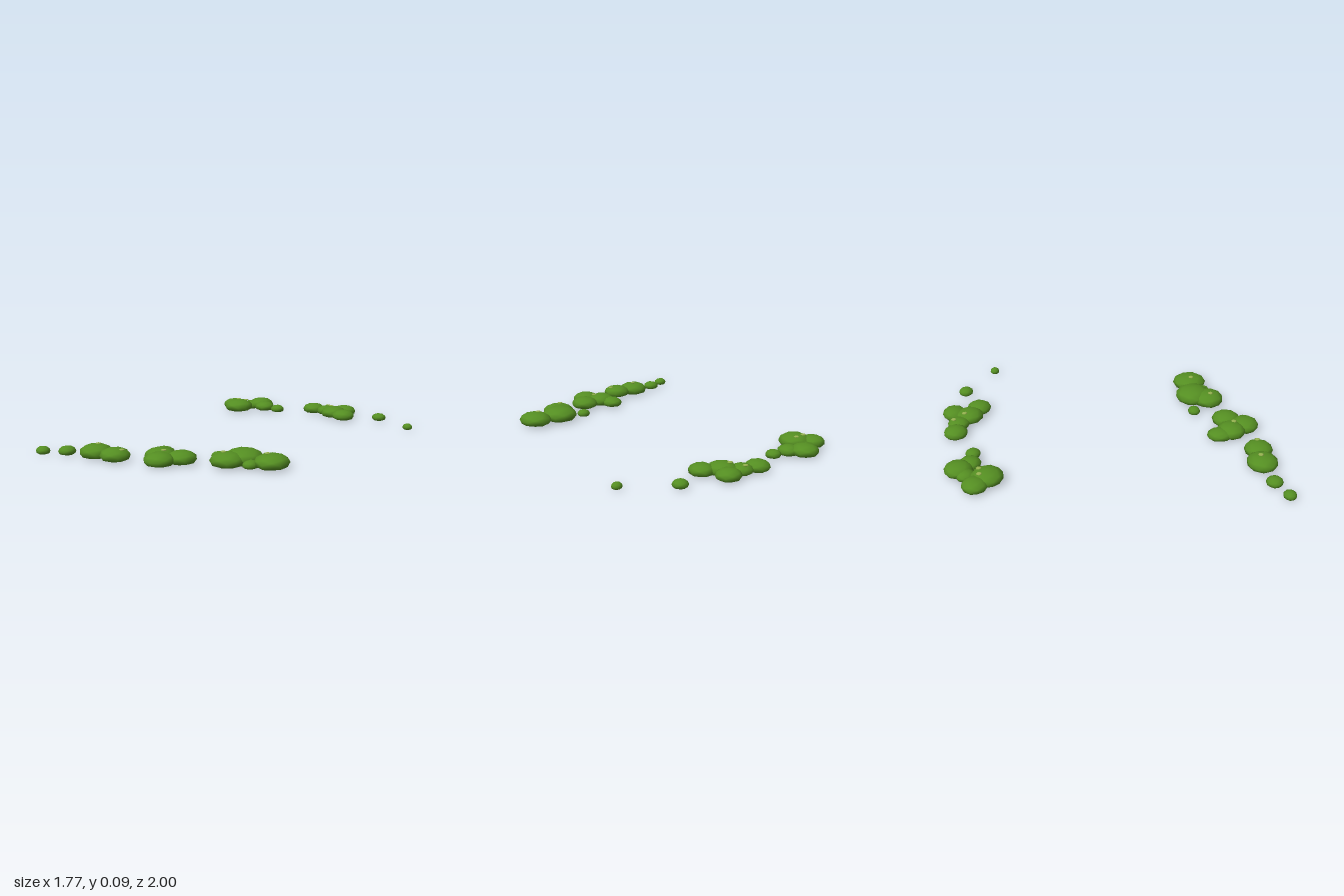
import * as THREE from 'three';
import { mergeVertices } from 'three/addons/utils/BufferGeometryUtils.js';

// Each shrub: x, z, radius along x, radius along z
const clumps = {
  frontRightShrubs: [[-0.845, 0.96, 0.043, 0.04], [-0.71, 0.91, 0.052, 0.052],
    [-0.52, 0.89, 0.098, 0.096], [-0.38, 0.905, 0.09, 0.088]],
  frontMiddleShrubs: [[-0.18, 0.715, 0.068, 0.082], [-0.15, 0.795, 0.092, 0.09],
    [-0.095, 0.895, 0.09, 0.088], [-0.01, 0.795, 0.088, 0.09]],
  frontLeftShrubs: [[0.13, 0.62, 0.043, 0.04], [0.305, 0.65, 0.115, 0.115],
    [0.25, 0.74, 0.102, 0.1], [0.385, 0.725, 0.045, 0.055], [0.485, 0.665, 0.1, 0.11]],
  backRightShrubs: [[-0.505, -0.82, 0.08, 0.08], [-0.435, -0.745, 0.098, 0.1],
    [-0.395, -0.87, 0.06, 0.06], [-0.335, -0.91, 0.086, 0.088],
    [-0.275, -0.84, 0.068, 0.068], [-0.165, -0.82, 0.047, 0.047]],
  backLeftShrubs: [[0.075, -0.92, 0.075, 0.076], [0.18, -0.9, 0.066, 0.07],
    [0.305, -0.925, 0.078, 0.075], [0.26, -0.83, 0.086, 0.09],
    [0.355, -0.765, 0.076, 0.078], [0.585, -0.845, 0.047, 0.047], [0.85, -0.64, 0.032, 0.03]],
};

// Pale buds on the shrub tops: x, z
const buds = [[-0.46, -0.79], [-0.4, -0.79], [0.18, -0.93], [0.23, -0.86], [-0.51, 0.88],
  [-0.33, 0.91], [-0.11, 0.82], [0.23, 0.75], [0.46, 0.67]];

const shrubHeight = (r) => 0.02 + 0.62 * r;

// Squashed low-poly ball with its underside cut flat at the ground
function shrubGeometry(rx, rz, turn) {
  const h = shrubHeight(rx);
  let g = new THREE.IcosahedronGeometry(1, 1);
  g.deleteAttribute('normal');
  g.deleteAttribute('uv');
  g = mergeVertices(g);
  g.rotateY(turn);
  g.scale(rx, h * 0.6, rz);
  g.translate(0, h * 0.4, 0);
  const p = g.attributes.position;
  for (let i = 0; i < p.count; i++) p.setY(i, Math.max(0, p.getY(i)));
  g.computeVertexNormals();
  return g;
}

// Height of the highest shrub surface above a point
function surfaceY(x, z) {
  let top = 0;
  for (const [cx, cz, rx, rz] of Object.values(clumps).flat()) {
    const d = ((x - cx) / rx) ** 2 + ((z - cz) / rz) ** 2;
    if (d < 1) top = Math.max(top, shrubHeight(rx) * (0.4 + 0.6 * Math.sqrt(1 - d)));
  }
  return top;
}

export function createModel() {
  const model = new THREE.Group();
  model.name = 'shrubBorder';
  const leafGreen = new THREE.MeshStandardMaterial({ color: 0x558f22 });
  leafGreen.name = 'leafGreen';
  const budGreen = new THREE.MeshStandardMaterial({ color: 0x96b450 });
  budGreen.name = 'budGreen';

  // Shrub clumps
  let n = 0;
  for (const [name, list] of Object.entries(clumps)) {
    const group = new THREE.Group();
    group.name = name;
    for (const [x, z, rx, rz] of list) {
      const shrub = new THREE.Mesh(shrubGeometry(rx, rz, n++ * 1.3), leafGreen);
      shrub.name = 'shrub';
      shrub.position.set(x, 0, z);
      group.add(shrub);
    }
    model.add(group);
  }

  // Buds
  const budGeometry = new THREE.SphereGeometry(0.018, 7, 4);
  budGeometry.scale(1, 0.25, 1);
  for (const [x, z] of buds) {
    const bud = new THREE.Mesh(budGeometry, budGreen);
    bud.name = 'bud';
    bud.position.set(x, surfaceY(x, z), z);
    model.add(bud);
  }
  return model;
}
